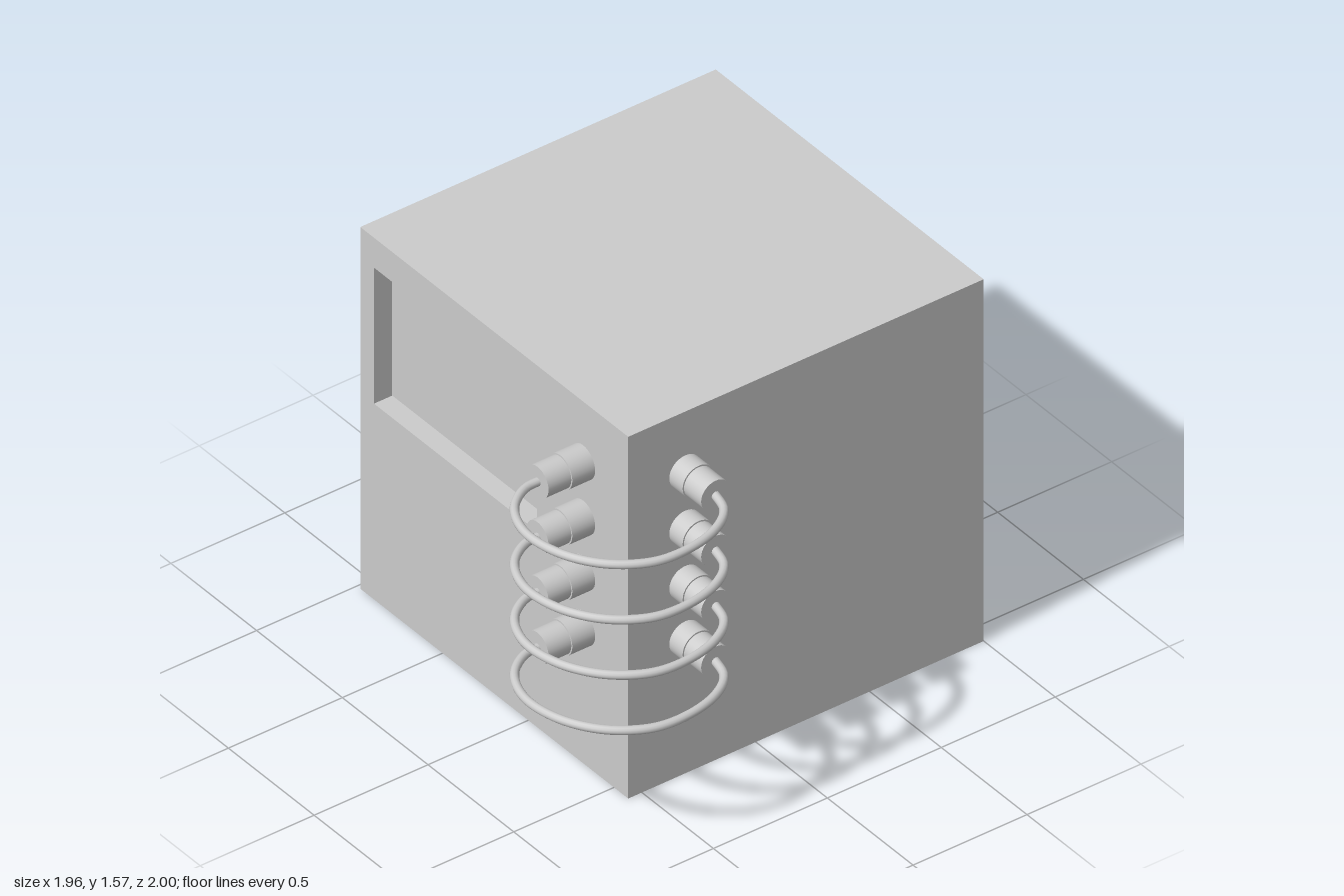
import * as THREE from 'three';

const material = new THREE.MeshStandardMaterial({ color: 0xcccccc });

function addMesh(parent, name, geometry, x = 0, y = 0, z = 0) {
  const mesh = new THREE.Mesh(geometry, material);
  mesh.name = name;
  mesh.position.set(x, y, z);
  parent.add(mesh);
  return mesh;
}

// Rectangle outline from two opposite corners
function rectangle(PathType, x0, y0, x1, y1) {
  return new PathType([[x0, y0], [x1, y0], [x1, y1], [x0, y1]].map(([x, y]) => new THREE.Vector2(x, y)));
}

// Stepped plug pointing along +z, with its base at z = 0
function createPlug(name) {
  const plug = new THREE.Group();
  plug.name = name;
  addMesh(plug, 'collar', new THREE.CylinderGeometry(0.07, 0.07, 0.1, 32).rotateX(Math.PI / 2), 0, 0, 0.05);
  addMesh(plug, 'sleeve', new THREE.CylinderGeometry(0.064, 0.064, 0.1, 32).rotateX(Math.PI / 2), 0, 0, 0.15);
  return plug;
}

export function createModel() {
  const model = new THREE.Group();
  model.name = 'controlBox';

  const left = 0.583, right = -0.98, front = 0.56, back = -1, height = 1.57;
  const recess = 0.08;
  const width = left - right, depth = front - back - recess;

  // Solid housing behind a front panel with a screen opening
  addMesh(model, 'housing', new THREE.BoxGeometry(width, height, depth),
    (left + right) / 2, height / 2, back + depth / 2);
  const panel = rectangle(THREE.Shape, right, 0, left, height);
  panel.holes.push(rectangle(THREE.Path, -0.9, 0.85, 0.05, 1.44));
  addMesh(model, 'frontPanel', new THREE.ExtrudeGeometry(panel, { depth: recess, bevelEnabled: false }),
    0, 0, front - recess);

  // Cable loop in plan (x, z), from the front plug round to the side plug
  const path = new THREE.CatmullRomCurve3([
    [0.32, 0.74], [0.326, 0.82], [0.4, 0.922], [0.54, 0.977], [0.71, 0.953], [0.855, 0.862],
    [0.943, 0.73], [0.96, 0.6], [0.925, 0.44], [0.85, 0.34], [0.74, 0.305],
  ].map(([x, z]) => new THREE.Vector3(x, 0, z)));
  const cableGeometry = new THREE.TubeGeometry(path, 64, 0.017, 12);

  // Four patch cables bridging the front and left faces
  for (const y of [0.59, 0.83, 1.07, 1.31]) {
    const patch = new THREE.Group();
    patch.name = 'patchCable';
    patch.position.y = y;
    const frontPlug = createPlug('frontPlug');
    frontPlug.position.set(0.32, 0, front);
    const sidePlug = createPlug('sidePlug');
    sidePlug.position.set(left - 0.022, 0, 0.31);
    sidePlug.rotation.y = Math.PI / 2;
    patch.add(frontPlug, sidePlug);
    addMesh(patch, 'cable', cableGeometry);
    model.add(patch);
  }
  return model;
}
